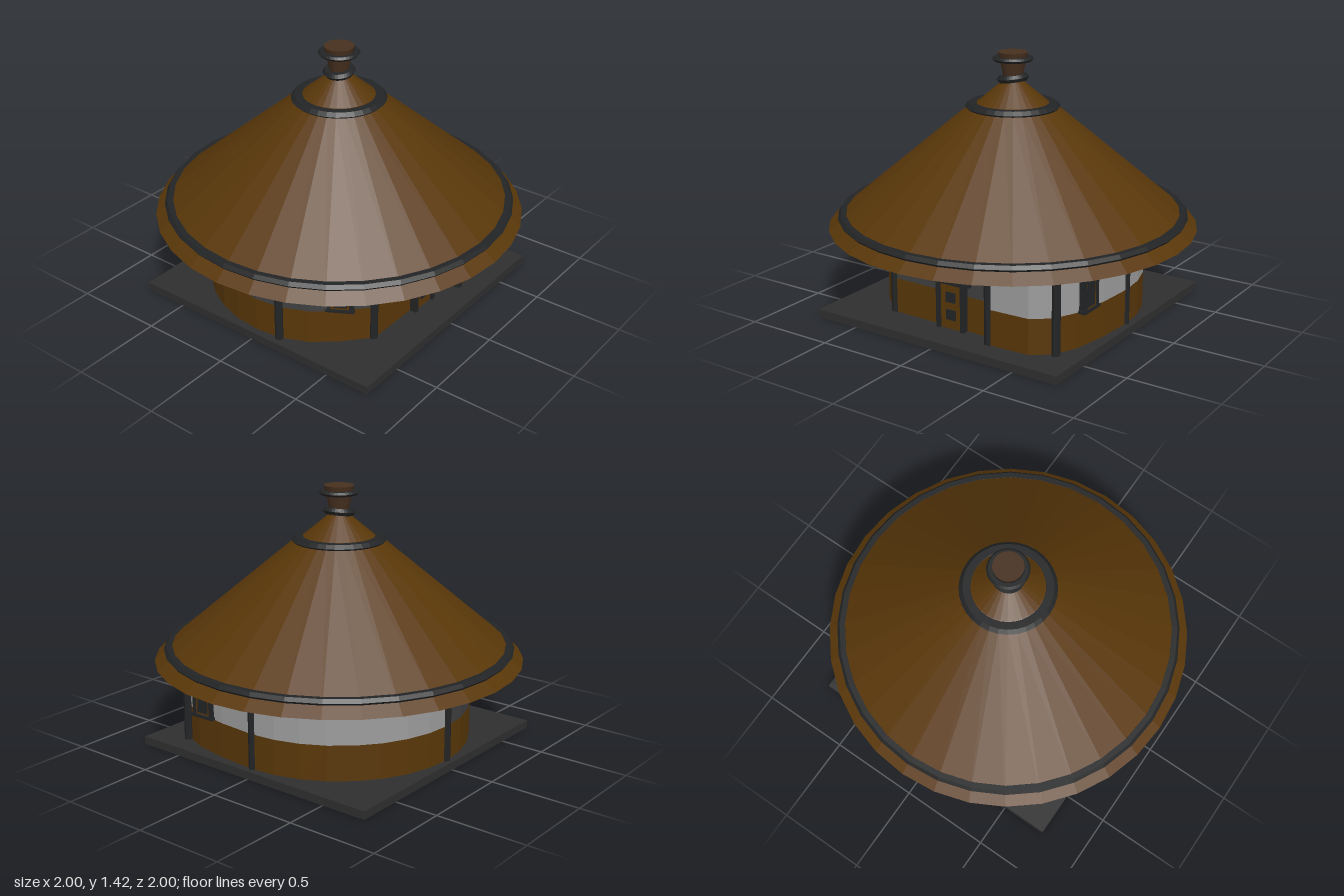
import * as THREE from 'three';

const mat = (color, side = THREE.FrontSide) =>
  new THREE.MeshStandardMaterial({ color, flatShading: true, side });
const BROWN = 0x593709;
const brown = mat(BROWN);
const dark = mat(0x232425);
const stone = mat(0x2f2f2f);
const copper = mat(0x47301f);

function add(parent, name, geometry, material, x = 0, y = 0, z = 0) {
  const mesh = new THREE.Mesh(geometry, material);
  mesh.name = name;
  mesh.position.set(x, y, z);
  parent.add(mesh);
  return mesh;
}

const box = (parent, name, w, h, d, material, x, y, z) =>
  add(parent, name, new THREE.BoxGeometry(w, h, d), material, x, y, z);

// Horizontal ring with a flat-topped hexagonal section
function ring(parent, name, radius, rx, ry, y) {
  const section = [];
  for (let i = 0; i <= 6; i++) {
    const a = ((i - 2) * Math.PI) / 3;
    section.push(new THREE.Vector2(radius + rx * Math.cos(a), (ry * Math.sin(a)) / 0.866));
  }
  return add(parent, name, new THREE.LatheGeometry(section, 32), dark, 0, y, 0);
}

// Upright wall that follows a plan line of [x, z] points
function wall(parent, name, plan, y0, y1, color) {
  const pos = [];
  for (let i = 0; i < plan.length - 1; i++) {
    const [ax, az] = plan[i], [bx, bz] = plan[i + 1];
    pos.push(ax, y0, az, bx, y0, bz, bx, y1, bz, ax, y0, az, bx, y1, bz, ax, y1, az);
  }
  const geometry = new THREE.BufferGeometry();
  geometry.setAttribute('position', new THREE.Float32BufferAttribute(pos, 3));
  geometry.computeVertexNormals();
  add(parent, name, geometry, mat(color, THREE.DoubleSide));
}

// Framed window, facing +z before it is turned
function windowUnit(name, x, z, turn) {
  const g = new THREE.Group();
  g.name = name;
  box(g, 'windowFrame', 0.11, 0.2, 0.026, brown, 0, 0.345, 0);
  box(g, 'windowPane', 0.07, 0.165, 0.032, dark, 0, 0.345, 0);
  for (const s of [-1, 1]) {
    box(g, 'windowJamb', 0.018, 0.2, 0.036, dark, s * 0.057, 0.345, 0.002);
    box(g, 'windowLedge', 0.15, 0.015, 0.04, dark, 0, 0.347 + s * 0.102, 0.004);
  }
  g.position.set(x, 0, z);
  g.rotation.y = turn;
  return g;
}

function door(x, z) {
  const g = new THREE.Group();
  g.name = 'door';
  box(g, 'doorLeaf', 0.14, 0.255, 0.03, brown, 0, 0.17, 0.005);
  for (const y of [0.125, 0.222]) box(g, 'doorPanel', 0.058, 0.055, 0.02, dark, 0, y, 0.018);
  for (const s of [-1, 1]) box(g, 'doorJamb', 0.022, 0.255, 0.05, dark, s * 0.077, 0.17, 0.01);
  box(g, 'doorLintel', 0.232, 0.02, 0.06, dark, 0, 0.307, 0.01);
  box(g, 'doorSign', 0.15, 0.065, 0.03, dark, 0, 0.352, 0.005);
  g.position.set(x, 0, z);
  return g;
}

export function createModel() {
  const model = new THREE.Group();
  model.name = 'roundHut';

  // Square base slab
  box(model, 'base', 1.515, 0.045, 1.515, stone, 0, 0.0225, 0);

  // Wall plan: rounded back, flat recessed front, bulging front left corner
  const R = 0.72;
  const arc = (from, to, n) => Array.from({ length: n + 1 }, (_, i) => {
    const a = from + ((to - from) * i) / n;
    return [R * Math.cos(a), R * Math.sin(a)];
  });
  const rightPlan = [[0.27, 0.635], [0.51, 0.625], [0.61, 0.55], [0.67, 0.42], [0.705, 0.22],
    ...arc(0, -Math.PI / 2, 8)];
  const leftPlan = [...arc(-Math.PI / 2, -Math.PI - 0.21, 9),
    [-0.64, 0.3], [-0.54, 0.42], [-0.4, 0.545], [0.22, 0.555], [0.27, 0.635]];
  const WALL_TOP = 0.52;
  wall(model, 'lowerWall', [...rightPlan, ...leftPlan.slice(1)], 0.045, 0.238, BROWN);
  wall(model, 'upperWallLight', rightPlan, 0.238, WALL_TOP, 0x9c9c9c);
  wall(model, 'upperWallDark', leftPlan, 0.238, WALL_TOP, 0x404040);

  // Posts
  for (const [x, z] of [[0.27, 0.625], [0.625, 0.55], [0.71, 0], [0, -0.715], [-0.705, 0.15], [-0.4, 0.535]])
    add(model, 'post', new THREE.CylinderGeometry(0.023, 0.023, 0.46, 8), dark, x, 0.275, z);

  // Door and windows
  model.add(door(0, 0.555));
  model.add(windowUnit('leftWindow', 0.695, 0.355, Math.PI / 2));
  model.add(windowUnit('rightWindow', -0.535, 0.42, -1.05));

  // Conical roof with a sloping underside and a small cap, bound by rings
  const roofProfile = [[0, 0.6], [1, 0.485], [0.235, 1.13], [0.19, 1.15], [0, 1.31]]
    .map(([r, y]) => new THREE.Vector2(r, y));
  add(model, 'roof', new THREE.LatheGeometry(roofProfile, 32), brown);
  ring(model, 'eaveRing', 0.92, 0.03, 0.019, 0.547);
  ring(model, 'upperRing', 0.215, 0.04, 0.02, 1.13);

  // Finial
  add(model, 'finial', new THREE.CylinderGeometry(0.08, 0.045, 0.16, 24), copper, 0, 1.34, 0);
  ring(model, 'finialRing', 0.09, 0.02, 0.012, 1.384);
  ring(model, 'tiltedRing', 0.062, 0.025, 0.018, 1.279).rotation.z = 0.14;

  return model;
}
